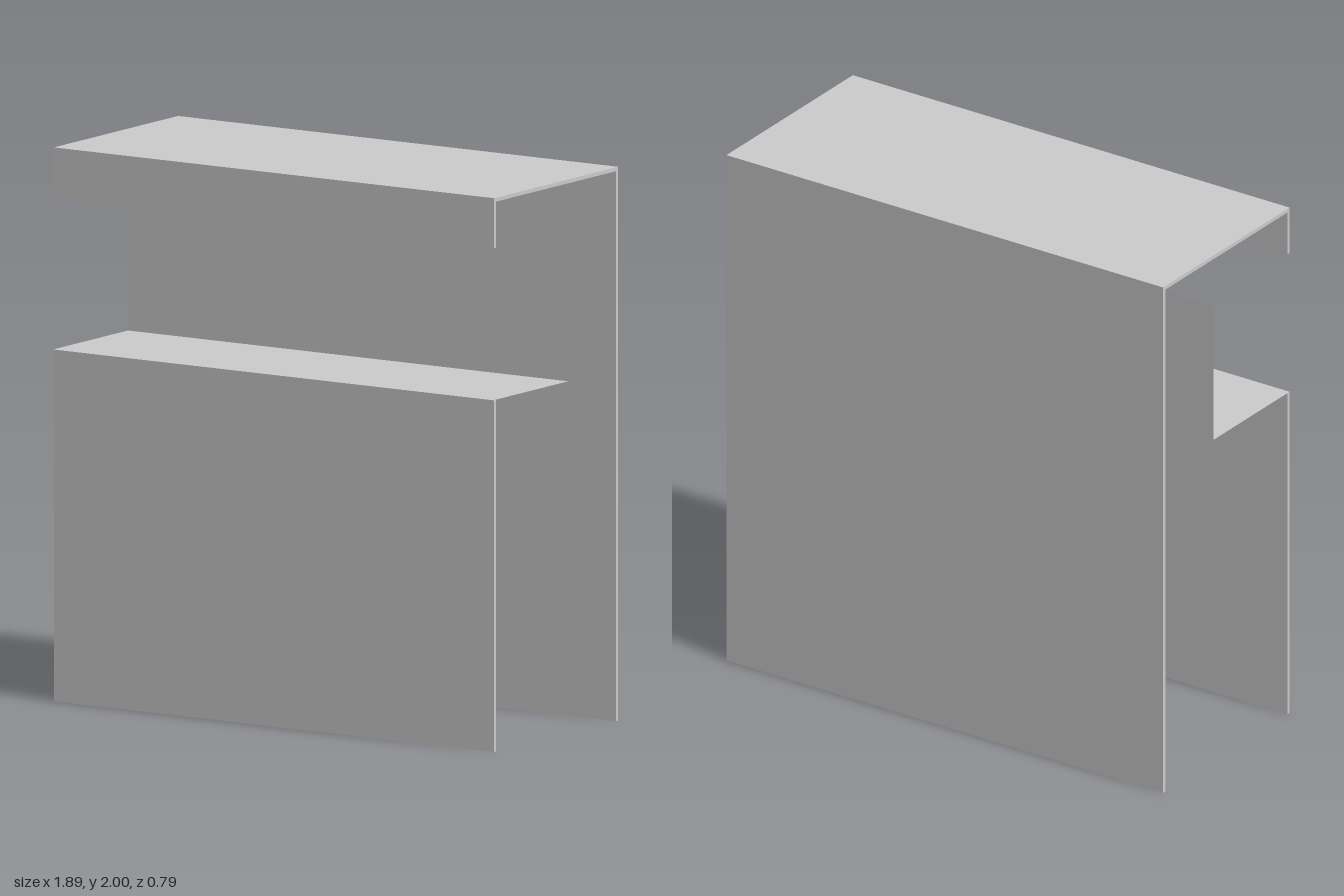
import * as THREE from 'three';

const W = 1.89, D = 0.395, T = 0.014;   // width, half depth, board thickness
const SHELF_Y = 1.27, RECESS_Z = -0.077;

export function createModel() {
  const group = new THREE.Group();
  const board = new THREE.MeshStandardMaterial({ color: 0xcccccc });
  const sheet = new THREE.MeshStandardMaterial({ color: 0xcccccc, side: THREE.DoubleSide });

  const add = (name, geometry, material, x, y, z) => {
    const mesh = new THREE.Mesh(geometry, material);
    mesh.name = name;
    mesh.position.set(x, y, z);
    group.add(mesh);
    return mesh;
  };
  // Board spanning the full width between two heights and two depths
  const addBoard = (name, y0, y1, z0, z1) =>
    add(name, new THREE.BoxGeometry(W, y1 - y0, z1 - z0), board, 0, (y0 + y1) / 2, (z0 + z1) / 2);

  // Outer shell, open at both ends and below
  addBoard('frontPanel', 0, SHELF_Y, D - T, D);
  addBoard('backPanel', 0, 2 - T, -D, -D + T);
  addBoard('topPanel', 2 - T, 2, -D, D);
  addBoard('frontLip', 1.82, 2 - T, D - T, D);

  // Thin shelf running back from the front panel
  const shelf = add('shelf', new THREE.PlaneGeometry(W, D - RECESS_Z), sheet,
    0, SHELF_Y + 0.001, (D + RECESS_Z) / 2);
  shelf.rotation.x = -Math.PI / 2;

  // Thin upright behind the shelf, slightly short of the left end
  const x0 = -0.942, x1 = 0.93, y1 = 1.8;
  add('recessBack', new THREE.PlaneGeometry(x1 - x0, y1 - SHELF_Y), sheet,
    (x0 + x1) / 2, (SHELF_Y + y1) / 2, RECESS_Z);

  return group;
}
